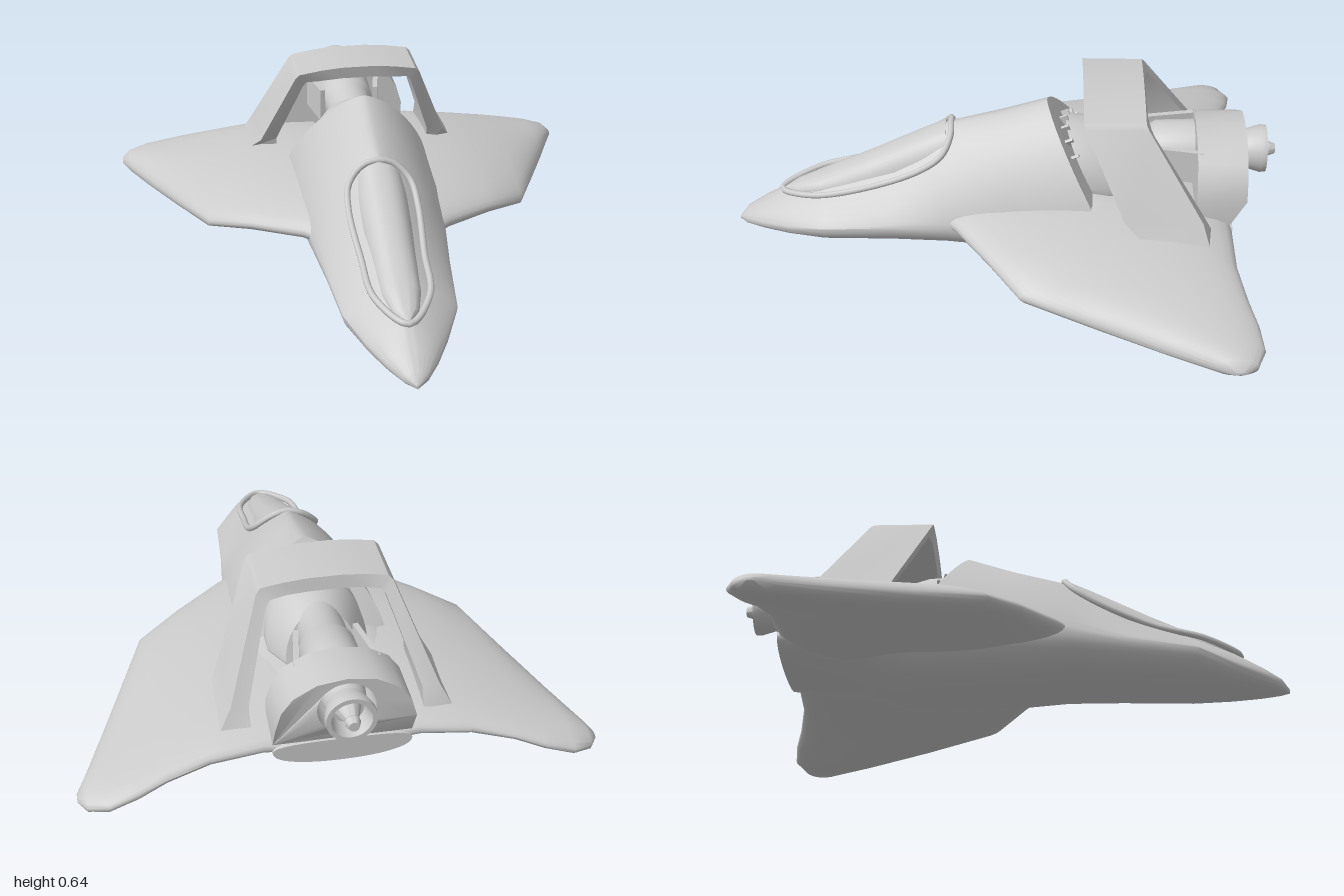
import * as THREE from 'three';
import { toCreasedNormals } from 'three/addons/utils/BufferGeometryUtils.js';

const material = new THREE.MeshStandardMaterial({ color: 0xcccccc, side: THREE.DoubleSide });

// Skin over a row of closed rings of [x, y, z], capped at both ends
function loft(rings, crease = 0.6) {
  const n = rings[0].length, pos = rings.flat(2), index = [];
  for (let i = 0; i < rings.length - 1; i++) {
    for (let j = 0; j < n; j++) {
      const a = i * n + j, b = i * n + (j + 1) % n;
      index.push(a, a + n, b, b, a + n, b + n);
    }
  }
  [0, rings.length - 1].forEach((r, end) => {
    const c = pos.length / 3;
    for (let k = 0; k < 3; k++) pos.push(rings[r].reduce((s, p) => s + p[k], 0) / n);
    for (let j = 0; j < n; j++) {
      const a = r * n + j, b = r * n + (j + 1) % n;
      index.push(c, end ? b : a, end ? a : b);
    }
  });
  const geo = new THREE.BufferGeometry();
  geo.setAttribute('position', new THREE.Float32BufferAttribute(pos, 3));
  geo.setIndex(index);
  return toCreasedNormals(geo, crease);
}

// Superellipse loop: half width w, widest at ys, separate top and bottom heights
function oval(w, ys, yTop, yBot, nTop, nBot = 2.2, count = 48) {
  const pw = (v, e) => Math.sign(v) * Math.abs(v) ** e;
  return Array.from({ length: count }, (_, i) => {
    const t = i / count * Math.PI * 2, c = Math.cos(t), s = Math.sin(t), up = s >= 0;
    const e = 2 / (up ? nTop : nBot);
    return [w * pw(c, e), ys + (up ? yTop - ys : ys - yBot) * pw(s, e)];
  });
}

export function createModel() {
  const model = new THREE.Group();
  const add = (name, geo, parent = model) => {
    const mesh = new THREE.Mesh(geo, material);
    mesh.name = name;
    parent.add(mesh);
    return mesh;
  };

  // Fuselage: z, half width, side height, top, bottom, top roundness, slanted
  const stations = [
    [1, 0.004, 0.03, 0.035, 0.02, 2],
    [0.97, 0.045, 0.045, 0.07, 0.017, 2],
    [0.9, 0.09, 0.06, 0.115, 0.015, 1.7],
    [0.8, 0.14, 0.08, 0.175, 0.015, 1.4],
    [0.66, 0.2, 0.12, 0.24, 0.017, 1.15],
    [0.4, 0.225, 0.15, 0.365, 0.025, 1.15],
    [0.2, 0.25, 0.17, 0.47, 0.028, 1.4],
    [0, 0.27, 0.18, 0.52, 0.01, 1.5],
    [-0.16, 0.28, 0.2, 0.575, 0, 1.5, true],
    [-0.33, 0.28, 0.2, 0.3, 0, 2.6],
    [-0.39, 0.28, 0.2, 0.285, 0.005, 3],
    [-0.52, 0.27, 0.19, 0.27, 0.05, 3],
    [-0.84, 0.24, 0.17, 0.2, 0.11, 3],
  ];
  add('fuselage', loft(stations.map(([z, w, ys, yt, yb, n, slant]) =>
    oval(w, ys, yt, yb, n).map(([x, y]) =>
      [x, y, slant ? Math.max(-0.33, z - 0.55 * (yt - y)) : z]))));

  // Canopy: z, half width, base, top
  add('canopy', loft([
    [0.82, 0.006, 0.16, 0.172], [0.77, 0.045, 0.17, 0.2], [0.68, 0.07, 0.18, 0.24],
    [0.5, 0.085, 0.21, 0.325], [0.28, 0.1, 0.28, 0.435], [0.21, 0.095, 0.32, 0.468],
  ].map(([z, w, base, top]) => oval(w, base, top, base - 0.04, 2.4).map(([x, y]) => [x, y, z]))));

  // Raised seam around the canopy
  const half = [[0.095, 0.2, 0.7], [0.112, 0.25, 0.5], [0.125, 0.34, 0.3], [0.112, 0.4, 0.22], [0.06, 0.454, 0.19]];
  const seam = [[0, 0.168, 0.83], ...half, [0, 0.472, 0.19],
    ...half.map(([x, y, z]) => [-x, y, z]).reverse()].map((p) => new THREE.Vector3(...p));
  add('canopyRim', new THREE.TubeGeometry(new THREE.CatmullRomCurve3(seam, true, 'centripetal'), 72, 0.012, 8, true));

  // Wings: x, leading z, trailing z, edge height, top, bottom
  const ribs = [
    [0.12, 0.3, -0.83, 0.17, 0.275, 0.06],
    [0.27, 0.17, -0.835, 0.185, 0.268, 0.1],
    [0.45, 0.04, -0.84, 0.165, 0.237, 0.09],
    [0.6, -0.07, -0.87, 0.135, 0.195, 0.066],
    [0.7, -0.315, -0.9, 0.105, 0.16, 0.045],
    [0.8, -0.56, -0.915, 0.078, 0.125, 0.034],
    [0.87, -0.735, -0.885, 0.066, 0.1, 0.033],
    [0.9, -0.8, -0.84, 0.065, 0.072, 0.058],
  ];
  for (const side of [1, -1]) {
    const rings = ribs.map(([x, front, back, y, top, bot]) => {
      const ring = oval((front - back) / 2, y, top, bot, 2, 2, 40)
        .map(([z, h]) => [side * x, h, (front + back) / 2 + z]);
      return side > 0 ? ring : ring.reverse();
    });
    add(side > 0 ? 'leftWing' : 'rightWing', loft(rings, 0.9));
  }

  // Swept hoop over the engine: each node is inner front, outer front, outer rear, inner rear
  const hoopHalf = [
    [[0.06, 0.59, -0.3], [0.06, 0.637, -0.29], [0.06, 0.637, -0.51], [0.06, 0.59, -0.52]],
    [[0.13, 0.585, -0.3], [0.14, 0.63, -0.29], [0.14, 0.63, -0.51], [0.13, 0.585, -0.52]],
    [[0.195, 0.578, -0.31], [0.222, 0.617, -0.29], [0.222, 0.617, -0.51], [0.195, 0.578, -0.53]],
    [[0.208, 0.56, -0.315], [0.238, 0.6, -0.295], [0.238, 0.6, -0.52], [0.208, 0.56, -0.54]],
    [[0.3, 0.29, -0.45], [0.362, 0.29, -0.44], [0.362, 0.29, -0.72], [0.3, 0.29, -0.72]],
    [[0.3, 0.19, -0.49], [0.41, 0.22, -0.52], [0.41, 0.2, -0.75], [0.3, 0.18, -0.78]],
  ];
  const mirrored = hoopHalf.map((ring) => ring.map(([x, y, z]) => [-x, y, z])).reverse();
  add('hoop', loft([...mirrored, ...hoopHalf], 0.4));

  // Engine, lying along z
  const engine = new THREE.Group();
  engine.name = 'engine';
  model.add(engine);
  const cowl = (z, w, top, slope) => oval(w, 0.28, top, 0.25, 2)
    .map(([x, y]) => [x, y, z - slope * (top - y)]);
  add('intakeCowl', loft([cowl(-0.23, 0.18, 0.49, 0.5), cowl(-0.3, 0.18, 0.485, 0.5), cowl(-0.44, 0.13, 0.45, 0.3)]), engine);

  // Intake vanes fanned across the slot
  for (let i = -3; i <= 3; i++) {
    const vane = add('intakeVane', new THREE.BoxGeometry(0.01, 0.07, 0.09), engine);
    const a = i * 0.3;
    vane.position.set(0.15 * Math.sin(a), 0.28 + 0.18 * Math.cos(a), -0.205 - 0.5 * 0.2 * (1 - Math.cos(a)));
    vane.rotation.set(0.4, 0, -a);
  }

  const lathe = (name, points) => {
    const geo = new THREE.LatheGeometry(points.map(([r, z]) => new THREE.Vector2(r, z)), 32);
    geo.rotateX(-Math.PI / 2); // profile heights run towards the rear
    const mesh = add(name, toCreasedNormals(geo, 0.6), engine);
    mesh.position.y = 0.375;
  };
  lathe('engineCore', [[0, 0.4], [0.085, 0.4], [0.088, 0.54], [0.1, 0.56], [0.105, 0.7], [0.09, 0.72], [0.07, 0.88], [0, 0.88]]);
  lathe('nozzle', [[0.068, 0.84], [0.07, 0.88], [0.075, 0.9], [0.088, 0.945], [0.086, 0.965], [0.07, 0.965], [0.055, 0.9], [0, 0.9]]);
  lathe('exhaustSpike', [[0.045, 0.9], [0.022, 0.965], [0.027, 0.975], [0.018, 1], [0, 1]]);

  // Splayed rails beside the core
  for (const side of [1, -1]) {
    const rail = add('engineRail', new THREE.BoxGeometry(0.02, 0.13, 0.2), engine);
    rail.position.set(side * 0.122, 0.38, -0.63);
    rail.rotation.y = side * -0.18;
  }

  // Arched rear housing with a round opening
  const right = [[0.24, 0.2], [0.24, 0.3], [0.22, 0.37], [0.18, 0.425], [0.1, 0.47]];
  const arch = new THREE.Shape([...right, [0, 0.484],
    ...right.map(([x, y]) => [-x, y]).reverse()].map((p) => new THREE.Vector2(...p)));
  arch.holes.push(new THREE.Path().absarc(0, 0.365, 0.1, 0, Math.PI * 2, true));
  const housing = new THREE.ExtrudeGeometry(arch, { depth: 0.18, bevelEnabled: false, curveSegments: 24 });
  housing.translate(0, 0, -0.885);
  const p = housing.attributes.position;
  for (let i = 0; i < p.count; i++) { // tuck the rear foot forward
    if (p.getZ(i) < -0.8 && p.getY(i) < 0.29) p.setZ(i, p.getZ(i) + 0.6 * (0.29 - p.getY(i)));
  }
  add('rearHousing', toCreasedNormals(housing, 0.6), engine);

  return model;
}
